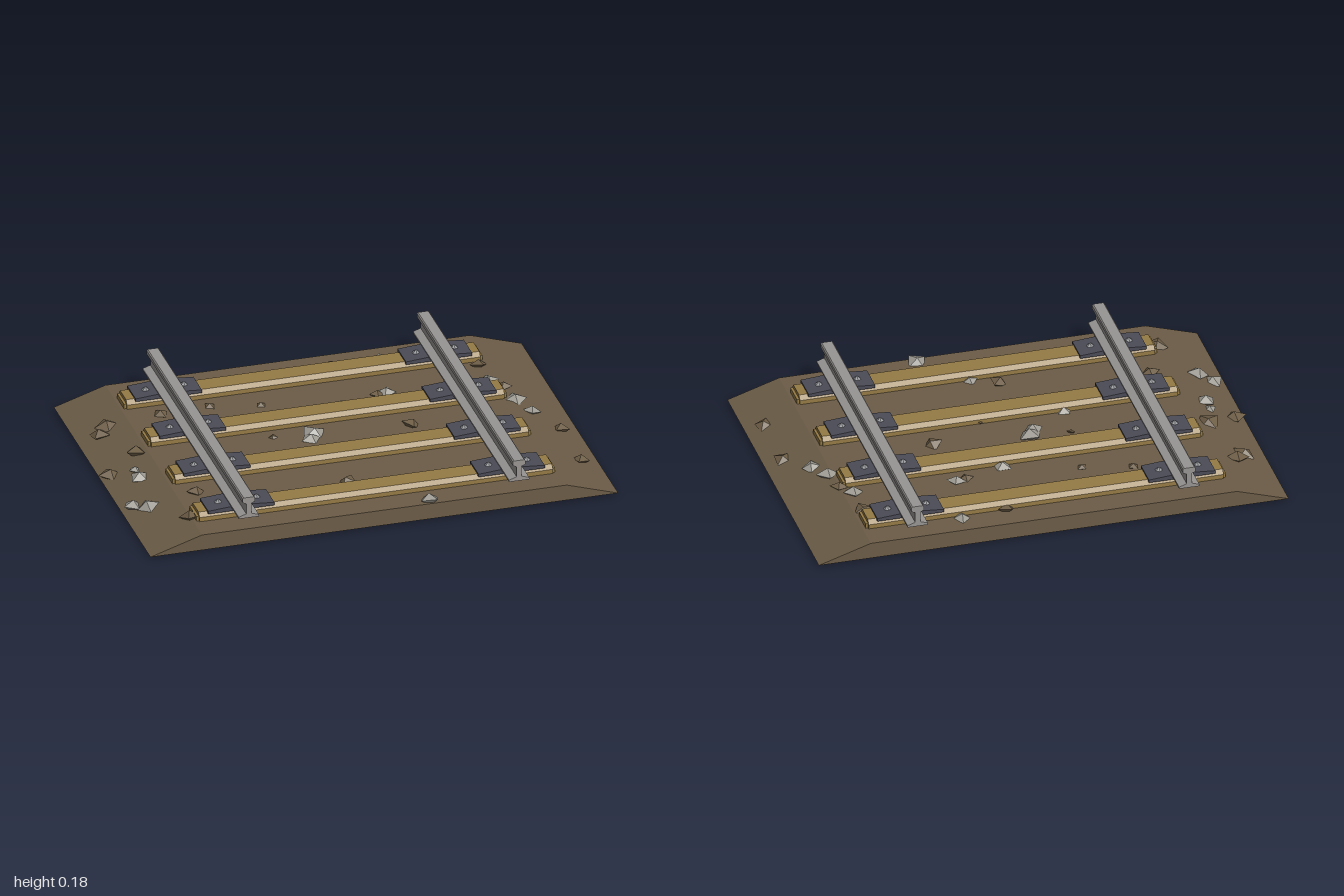
import * as THREE from 'three';

const mat = (name, color, flatShading = true) => {
  const m = new THREE.MeshStandardMaterial({ color, flatShading });
  m.name = name;
  return m;
};

// Extrudes a cross-section (x, y points) along z, centred on z = 0
function prism(points, length) {
  const shape = new THREE.Shape(points.map(([x, y]) => new THREE.Vector2(x, y)));
  const geo = new THREE.ExtrudeGeometry(shape, { depth: length, bevelEnabled: false });
  return geo.translate(0, 0, -length / 2);
}

// Mirrors a half profile (bottom to top, x > 0) into a closed outline
const mirrored = half => [...half, ...half.map(([x, y]) => [-x, y]).reverse()];

export function createModel() {
  const earth = mat('earth', 0x6b5c46);
  const wood = mat('wood', 0x947a45);
  const steel = mat('rail steel', 0x989593);
  const iron = mat('dark iron', 0x4a4b56);
  const bolt = mat('bolt steel', 0x94969a);
  const greyStone = mat('grey stone', 0xa09d95);
  const brownStone = mat('brown stone', 0x6e5e47);

  const model = new THREE.Group();
  model.name = 'railwayTrack';
  const track = new THREE.Group();
  track.name = 'track';
  track.rotation.y = Math.PI / 4; // the track lies diagonally
  model.add(track);

  const add = (name, geo, material, x = 0, y = 0, z = 0) => {
    const mesh = new THREE.Mesh(geo, material);
    mesh.name = name;
    mesh.position.set(x, y, z);
    track.add(mesh);
    return mesh;
  };

  // Embankment with sloping sides
  add('embankment', prism(mirrored([[0.834, 0.004], [0.65, 0.062]]), 1.16), earth);

  // Rails: foot, web and head in one section
  const railGeo = prism(mirrored([
    [0.036, 0.102], [0.036, 0.109], [0.009, 0.118], [0.009, 0.156],
    [0.022, 0.162], [0.022, 0.176], [0.018, 0.18],
  ]), 1.152);
  for (const side of [-1, 1]) add('rail', railGeo, steel, side * 0.482);

  // Sleepers with chamfered edges, plates and bolts
  const tieGeo = prism(mirrored([[0.049, 0.05], [0.049, 0.078], [0.036, 0.093]]), 1.26);
  const tieEnd = new THREE.BoxGeometry(0.012, 0.025, 0.084);
  const plateGeo = prism(mirrored([[0.118, 0.088], [0.118, 0.099], [0.04, 0.105]]), 0.102);
  const boltGeo = new THREE.ConeGeometry(0.014, 0.013, 6);
  for (let i = 0; i < 4; i++) {
    const z = -0.435 + i * 0.29;
    add('sleeper', tieGeo, wood, 0, 0, z).rotation.y = Math.PI / 2;
    for (const side of [-1, 1]) {
      add('sleeperEnd', tieEnd, wood, side * 0.633, 0.067, z);
      add('railPlate', plateGeo, iron, side * 0.482, 0, z);
      for (const d of [-0.068, 0.068]) add('bolt', boltGeo, bolt, side * 0.482 + d, 0.109, z);
    }
  }

  // Loose stones: [x, z, radius] on the ground
  const grey = [
    [-0.14, -0.57, 0.03], [0.27, -0.6, 0.035], [0.41, -0.53, 0.037], [0.49, -0.5, 0.03],
    [-0.09, -0.2, 0.03], [-0.07, 0.03, 0.042], [-0.06, 0.07, 0.035], [-0.09, 0.23, 0.028],
    [0.29, 0.25, 0.024], [0.51, 0.27, 0.037], [-0.46, 0.56, 0.036], [-0.4, 0.72, 0.036],
    [-0.34, 0.72, 0.038], [0.0, -0.36, 0.03], [-0.27, 0.06, 0.022], [-0.5, 0.52, 0.022],
  ];
  const brown = [
    [0.18, -0.69, 0.03], [0.62, -0.47, 0.033], [0.79, -0.3, 0.032], [-0.24, -0.44, 0.03],
    [0.19, -0.19, 0.034], [-0.02, -0.33, 0.025], [-0.74, 0.28, 0.04], [-0.74, 0.33, 0.036],
    [-0.55, 0.42, 0.038], [-0.58, 0.55, 0.036], [-0.22, 0.6, 0.032], [-0.15, 0.77, 0.036],
    [0.2, 0.29, 0.034], [0.13, 0.03, 0.023], [-0.48, 0.02, 0.02], [-0.6, 0.15, 0.026],
    [-0.33, -0.07, 0.018], [-0.18, 0.12, 0.014], [0.33, -0.59, 0.028],
  ];
  let seed = 7;
  const rand = () => (seed = (seed * 16807) % 2147483647) / 2147483647;
  const stoneGeo = new THREE.OctahedronGeometry(1, 0);
  const scatter = (list, material) => list.forEach(([x, z, r]) => {
    const u = Math.abs(x - z) * Math.SQRT1_2;
    const ground = 0.062 - Math.max(0, u - 0.65) * 0.315;
    const stone = new THREE.Mesh(stoneGeo, material);
    stone.name = 'stone';
    stone.position.set(x, ground + 0.002, z);
    stone.scale.set(r * (0.95 + rand() * 0.25), r * 0.6, r * (0.95 + rand() * 0.25));
    stone.rotation.set((rand() - 0.5) * 0.6, rand() * Math.PI, (rand() - 0.5) * 0.6);
    model.add(stone);
  });
  scatter(grey, greyStone);
  scatter(brown, brownStone);

  return model;
}
